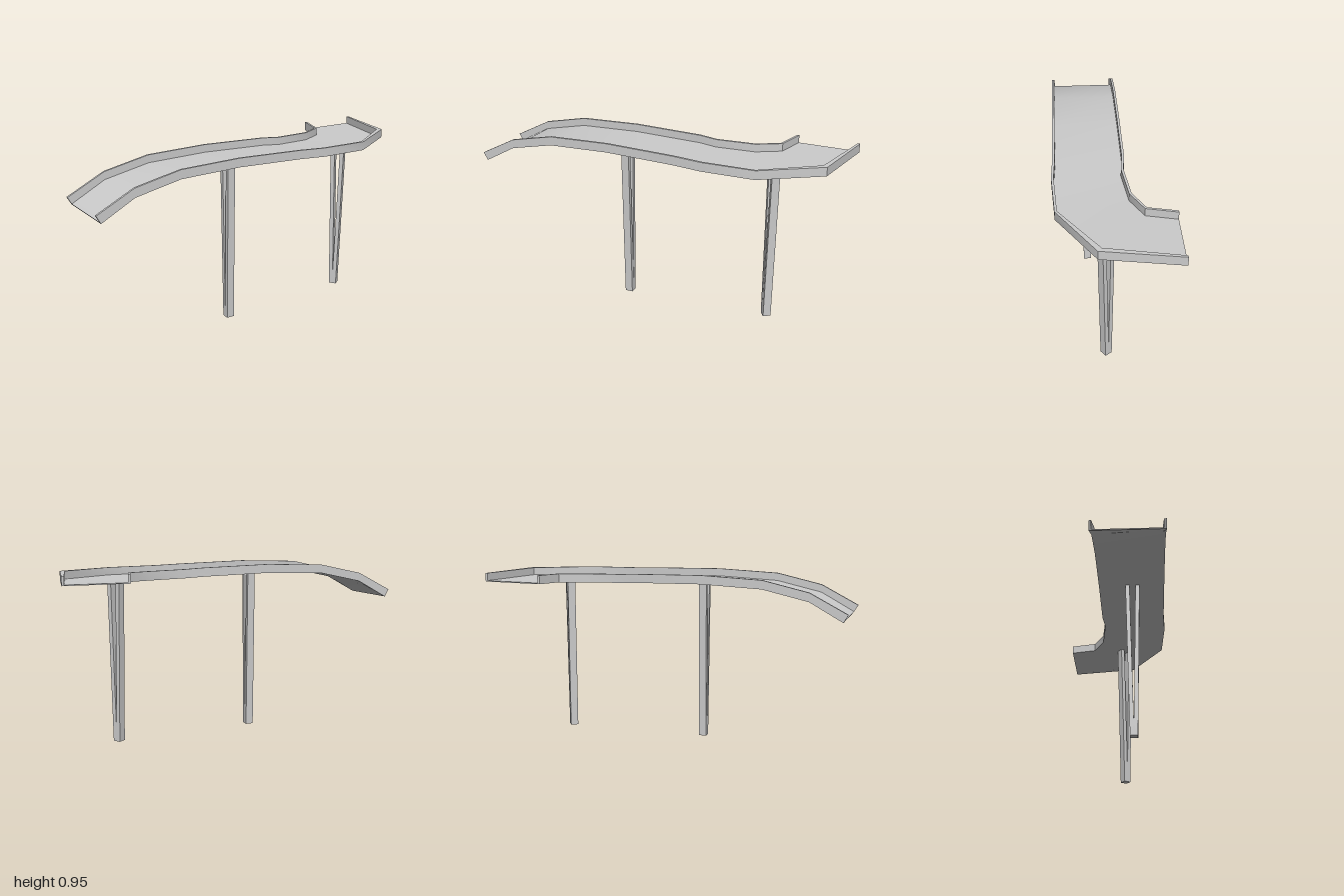
import * as THREE from 'three';
import { toCreasedNormals } from 'three/addons/utils/BufferGeometryUtils.js';

const CURB_HEIGHT = 0.048;
const DECK_THICKNESS = 0.006;
const CURB_WIDTH = 0.013;

// Stations along the walkway: front edge x,z; back edge x,z; underside y
const stations = [
  [-0.97, 0.29, -0.97, -0.08, 0.74],
  [-0.79, 0.29, -0.79, -0.08, 0.838],
  [-0.54, 0.29, -0.54, -0.08, 0.892],
  [-0.2, 0.29, -0.2, -0.08, 0.904],
  [0.18, 0.29, 0.18, -0.08, 0.895],
  [0.34, 0.297, 0.28, -0.068, 0.889],
  [0.62, 0.282, 0.49, -0.093, 0.886],
  [0.925, 0.092, 0.612, -0.155, 0.888],
  [0.995, -0.303, 0.653, -0.303, 0.893],
].map(([fx, fz, bx, bz, y], i) => ({
  front: new THREE.Vector3(fx, y, fz),
  back: new THREE.Vector3(bx, y, bz),
  // the lower ramp end is cut square to its slope
  up: i === 0 ? new THREE.Vector3(-0.5, 0.87, 0) : new THREE.Vector3(0, 1, 0),
  frontInset: i === 7 ? 0.03 : CURB_WIDTH,
}));

// Closed solid through a row of four-cornered cross-sections
function loft(rings) {
  const positions = rings.flat().flatMap((p) => p.toArray());
  const index = [];
  const quad = (a, b, c, d) => index.push(a, b, c, a, c, d);
  for (let k = 0; k < rings.length - 1; k++) {
    for (let j = 0; j < 4; j++) {
      const a = k * 4 + j, b = k * 4 + ((j + 1) % 4);
      quad(a, b, b + 4, a + 4);
    }
  }
  const e = (rings.length - 1) * 4;
  quad(3, 2, 1, 0);
  quad(e, e + 1, e + 2, e + 3);
  const geometry = new THREE.BufferGeometry();
  geometry.setAttribute('position', new THREE.Float32BufferAttribute(positions, 3));
  geometry.setIndex(index);
  return toCreasedNormals(geometry, 0.6);
}

// Cross-section between two points, raised by a height
function section(p, q, up, height) {
  const rise = up.clone().multiplyScalar(height);
  return [p, q, q.clone().add(rise), p.clone().add(rise)];
}

// Forked post: one foot splitting into two slim legs
function forkedPost(top) {
  const shape = new THREE.Shape([
    [-0.021, 0], [0.021, 0], [0.04, top], [0.017, top],
    [0, 0.06], [-0.017, top], [-0.04, top],
  ].map(([x, y]) => new THREE.Vector2(x, y)));
  const geometry = new THREE.ExtrudeGeometry(shape, { depth: 0.043, bevelEnabled: false });
  geometry.translate(0, 0, -0.0215);
  geometry.rotateY(Math.PI / 2);
  return geometry;
}

export function createModel() {
  const group = new THREE.Group();
  const material = new THREE.MeshStandardMaterial({ color: 0xcccccc });
  const add = (name, geometry) => {
    const mesh = new THREE.Mesh(geometry, material);
    mesh.name = name;
    group.add(mesh);
    return mesh;
  };

  // Walkway floor
  add('deck', loft(stations.map((s) => section(s.front, s.back, s.up, DECK_THICKNESS))));

  // Curbs along both edges
  const inset = (from, to, d) => to.clone().sub(from).setLength(d).add(from);
  add('frontCurb', loft(stations.map((s) =>
    section(s.front, inset(s.front, s.back, s.frontInset), s.up, CURB_HEIGHT))));
  add('backCurb', loft(stations.map((s) =>
    section(inset(s.back, s.front, CURB_WIDTH), s.back, s.up, CURB_HEIGHT))));

  // Supports, the second turned to follow the bend
  add('rampPost', forkedPost(0.904)).position.set(-0.165, 0, 0.11);
  const bendPost = add('bendPost', forkedPost(0.888));
  bendPost.position.set(0.64, 0, 0.04);
  bendPost.rotation.y = THREE.MathUtils.degToRad(36);

  return group;
}
